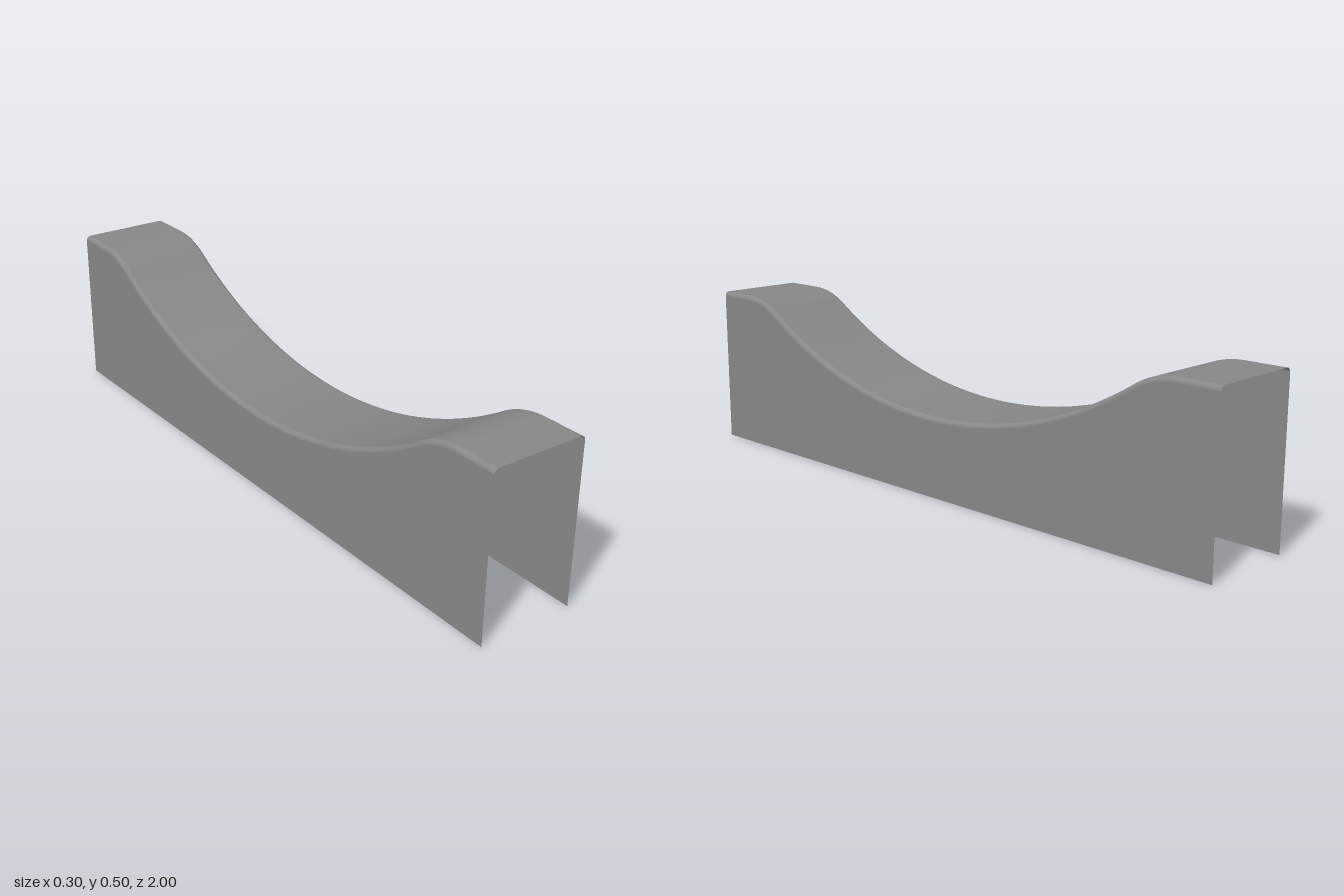
import * as THREE from 'three';

const HALF_WIDTH = 0.15, HEIGHT = 0.5, DIP = 0.245;
const SADDLE_R = 1.36, SHOULDER_R = 0.25, EDGE_R = 0.015;

// Saddle arc, tangent shoulder arc, flat end: half the side profile as [z, y, angle]
function halfProfile() {
  const cy = DIP + SADDLE_R, sy = HEIGHT - SHOULDER_R;
  const sz = Math.sqrt((SADDLE_R + SHOULDER_R) ** 2 - (cy - sy) ** 2);
  const end = Math.atan2(sz, cy - sy);
  const pts = [];
  for (let i = 0; i <= 32; i++) {
    const a = end * i / 32;
    pts.push([SADDLE_R * Math.sin(a), cy - SADDLE_R * Math.cos(a), a]);
  }
  for (let i = 1; i <= 12; i++) {
    const a = end * (1 - i / 12);
    pts.push([sz - SHOULDER_R * Math.sin(a), sy + SHOULDER_R * Math.cos(a), a]);
  }
  pts.push([1, HEIGHT, 0]);
  return pts;
}

// Cross-section from one lower edge over the top to the other: [x, drop below top]
function crossSection() {
  const right = [];
  for (let i = 0; i <= 6; i++) {
    const a = Math.PI / 2 * i / 6;
    right.push([-HALF_WIDTH + EDGE_R * (1 - Math.cos(a)), EDGE_R * (1 - Math.sin(a))]);
  }
  const left = right.map(([x, d]) => [-x, d]).reverse();
  return [[-HALF_WIDTH, null], ...right, ...left, [HALF_WIDTH, null]];
}

export function createModel() {
  const half = halfProfile();
  const profile = [...half.slice(1).reverse().map(([z, y, a]) => [-z, y, -a]), ...half];
  const section = crossSection();
  const n = section.length, positions = [], indices = [];

  // Sweep the channel along z, rolling the edges square to the slope
  for (const [z, y, a] of profile) {
    for (const [x, drop] of section) {
      if (drop === null) positions.push(x, 0, z);
      else positions.push(x, y - drop * Math.cos(a), z + drop * Math.sin(a));
    }
  }
  for (let i = 0; i < profile.length - 1; i++) {
    for (let j = 0; j < n - 1; j++) {
      const p = i * n + j, q = p + n;
      indices.push(p, q, p + 1, q, q + 1, p + 1);
    }
  }
  const geometry = new THREE.BufferGeometry();
  geometry.setAttribute('position', new THREE.Float32BufferAttribute(positions, 3));
  geometry.setIndex(indices);
  geometry.computeVertexNormals();

  // Thin open channel, no ends and no bottom
  const channel = new THREE.Mesh(geometry, new THREE.MeshStandardMaterial({
    color: 0x888888, side: THREE.DoubleSide,
  }));
  channel.name = 'saddleChannel';
  const group = new THREE.Group();
  group.name = 'curvedCover';
  group.add(channel);
  return group;
}
